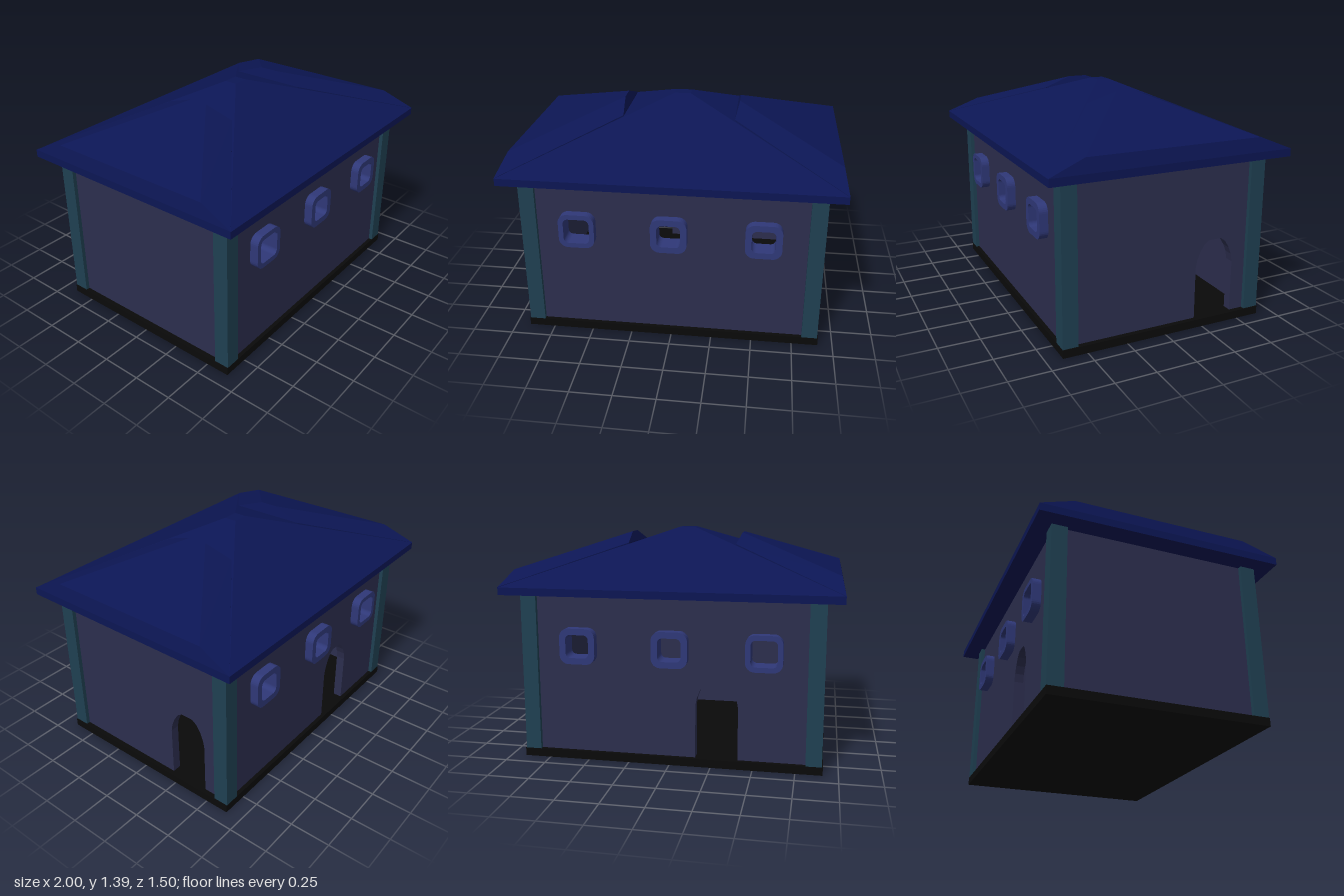
import * as THREE from 'three';
import { ConvexGeometry } from 'three/addons/geometries/ConvexGeometry.js';

const FLOOR = 0.05, EAVE = 1.02, THICK = 0.055;
const WALL_X = 0.88, WALL_Z = 0.625;

const mat = (color) => new THREE.MeshStandardMaterial({ color, flatShading: true });

// Square with rounded corners, centred on (cx, cy)
function roundedSquare(Type, cx, cy, half, r) {
  const p = new Type();
  [[1, 1], [-1, 1], [-1, -1], [1, -1]].forEach(([sx, sy], i) => {
    p.absarc(cx + sx * (half - r), cy + sy * (half - r), r, i * Math.PI / 2, (i + 1) * Math.PI / 2, false);
  });
  p.closePath();
  return p;
}

// Rectangular wall outline; an optional doorway is cut into its bottom edge
function wallShape(halfWidth, doorX) {
  const s = new THREE.Shape();
  s.moveTo(-halfWidth, FLOOR);
  if (doorX !== undefined) {
    const arch = [[0.127, FLOOR], [0.127, 0.37], [0.118, 0.42], [0.1, 0.465], [0.073, 0.51], [0.04, 0.533]];
    arch.forEach(([x, y]) => s.lineTo(doorX - x, y));
    [...arch].reverse().forEach(([x, y]) => s.lineTo(doorX + x, y));
  }
  s.lineTo(halfWidth, FLOOR);
  s.lineTo(halfWidth, EAVE);
  s.lineTo(-halfWidth, EAVE);
  s.closePath();
  return s;
}

const extrude = (shape, depth) =>
  new THREE.ExtrudeGeometry(shape, { depth, bevelEnabled: false, curveSegments: 4 });

export function createModel() {
  const model = new THREE.Group();
  model.name = 'house';
  const wallMat = mat(0x2c2e4e), pillarMat = mat(0x1f4052);
  const frameMat = mat(0x2f3878), roofMat = mat(0x0c1654), baseMat = mat(0x0a0a0a);

  const add = (name, geometry, material, x = 0, y = 0, z = 0) => {
    const m = new THREE.Mesh(geometry, material);
    m.name = name;
    m.position.set(x, y, z);
    model.add(m);
    return m;
  };

  // Floor slab
  add('base', new THREE.BoxGeometry(1.82, FLOOR, 1.3), baseMat, 0, FLOOR / 2, 0);

  // Corner pillars
  for (const sx of [-1, 1]) for (const sz of [-1, 1]) {
    add('cornerPillar', new THREE.BoxGeometry(0.095, EAVE - FLOOR, 0.095), pillarMat,
      sx * 0.857, (EAVE + FLOOR) / 2, sz * 0.602);
  }

  // Long walls with three windows each; the back one has a doorway
  const windows = [[-0.56, 0.078], [-0.008, 0.07], [0.55, 0.07]];
  for (const front of [true, false]) {
    const shape = wallShape(WALL_X, front ? undefined : -0.283);
    windows.forEach(([x]) => shape.holes.push(roundedSquare(THREE.Path, x, 0.712, 0.095, 0.04)));
    add(front ? 'frontWall' : 'backWall', extrude(shape, THICK), wallMat,
      0, 0, front ? WALL_Z - THICK : -WALL_Z);

    // Window frames reach through the wall and stand proud of it
    windows.forEach(([x, hole]) => {
      const ring = roundedSquare(THREE.Shape, 0, 0, 0.108, 0.055);
      ring.holes.push(roundedSquare(THREE.Path, 0, 0, hole, 0.03));
      add('windowFrame', extrude(ring, 0.115), frameMat, x, 0.712, front ? 0.563 : -0.678);
    });
  }

  // Short walls; the left one (+x) has a doorway towards the back
  const sideHalf = WALL_Z - THICK;
  add('leftWall', extrude(wallShape(sideHalf, 0.338), THICK), wallMat, WALL_X - THICK).rotation.y = Math.PI / 2;
  add('rightWall', extrude(wallShape(sideHalf), THICK), wallMat, -WALL_X).rotation.y = Math.PI / 2;

  // Points mirrored front to back (and side to side) for the roof hulls
  const mirrorZ = (pts) => pts.flatMap(([x, y, z]) =>
    [new THREE.Vector3(x, y, z), new THREE.Vector3(x, y, -z)]);

  // Main hipped roof with its fascia
  const corner = [[1, EAVE, 0.75], [1, 1.065, 0.75], [0.05, 1.39, 0.04]];
  add('mainRoof', new ConvexGeometry(mirrorZ(corner.flatMap(([x, y, z]) => [[x, y, z], [-x, y, z]]))), roofMat);

  // Raised roof ends, each closed by a small gable near the ridge
  for (const s of [-1, 1]) {
    const end = [[1, 1.04, 0.75], [1, 1.067, 0.75], [0.98, 1.15, 0.54],
      [0.36, 1.36, 0.06], [0.34, 1.298, 0.24], [0.34, 1.04, 0.24]];
    add('roofEnd', new ConvexGeometry(mirrorZ(end.map(([x, y, z]) => [s * x, y, z]))), roofMat);
  }
  return model;
}
